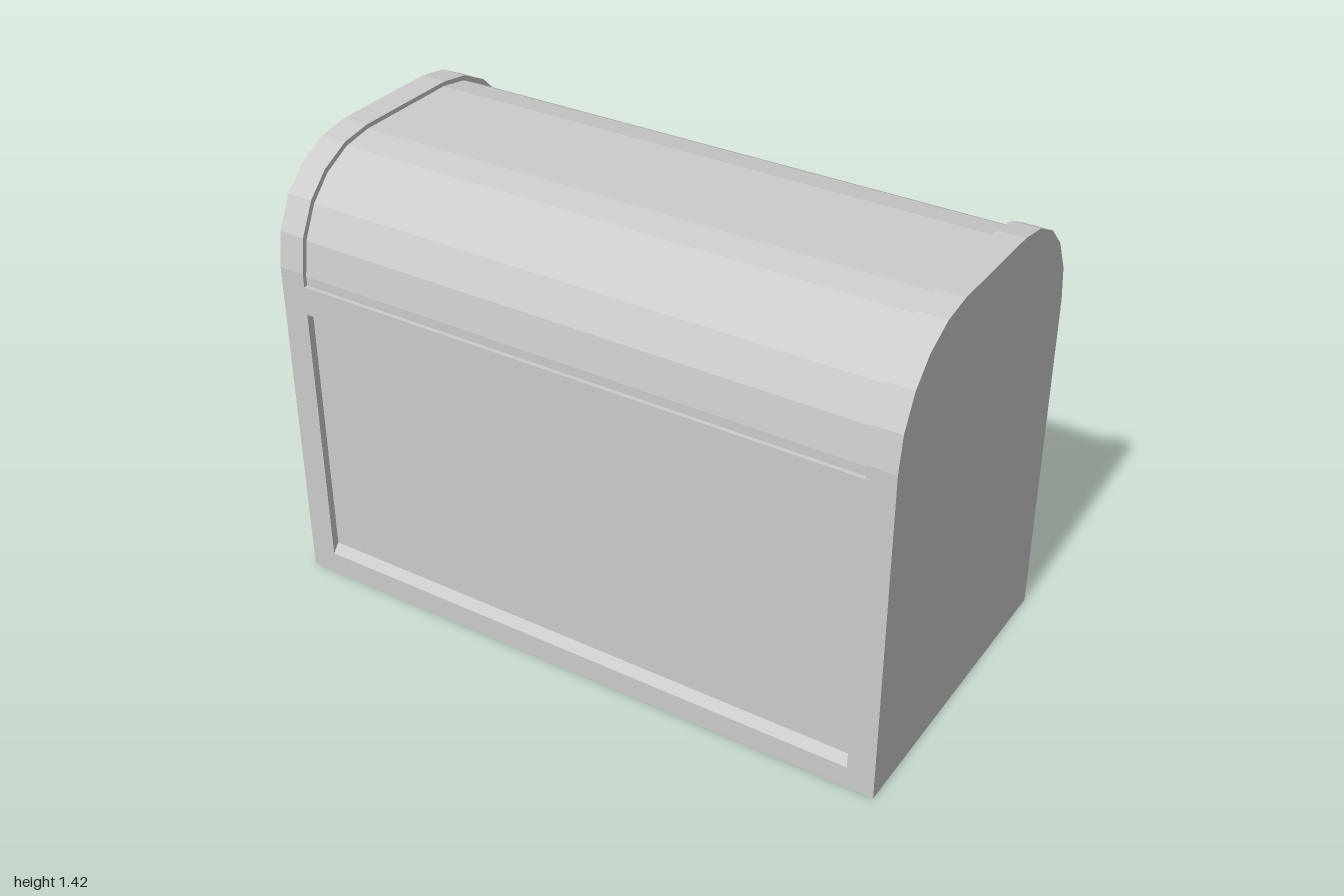
import * as THREE from 'three';

const material = new THREE.MeshStandardMaterial({ color: 0xcccccc, flatShading: true });
const END = 0.915; // inner face of the end walls

// Half outline of the vaulted lid, [z, y] from the shoulder to the flat crown
const ARCH = [[0.517, 1.08], [0.5, 1.19], [0.45, 1.29], [0.38, 1.36], [0.285, 1.408], [0.185, 1.424]];

// Extrude a [z, y] outline along x, between x0 and x1
function prism(name, points, x0, x1) {
  const shape = new THREE.Shape(points.map(([z, y]) => new THREE.Vector2(-z, y)));
  const geometry = new THREE.ExtrudeGeometry(shape, { depth: x1 - x0, bevelEnabled: false });
  geometry.rotateY(Math.PI / 2).translate(x0, 0, 0);
  const mesh = new THREE.Mesh(geometry, material);
  mesh.name = name;
  return mesh;
}

// Complete a half outline with its mirror image
function mirrored(half) {
  return [...half, ...half.map(([z, y]) => [-z, y]).reverse()];
}

export function createModel() {
  const chest = new THREE.Group();
  chest.name = 'chest';

  // Solid end walls with the full arched outline
  const outline = mirrored([[0.517, 0], ...ARCH]);
  chest.add(prism('leftEnd', outline, END, 1));
  chest.add(prism('rightEnd', outline, -1, -END));

  // Recessed body panels and floor
  chest.add(prism('body', mirrored([[0.493, 0.02], [0.493, 0.99]]), -END, END));

  // Lid sunk slightly below the end walls
  const lidArch = ARCH.map(([z, y]) => [z * 0.975, y - 0.014]);
  chest.add(prism('lid', mirrored([[0.504, 0.99], ...lidArch]), -END, END));

  // Belt rail and bevelled bottom rail, front and back
  const belt = [[0.48, 0.945], [0.517, 0.945], [0.517, 1.037], [0.48, 1.037]];
  const sill = [[0.485, 0], [0.517, 0], [0.517, 0.072], [0.493, 0.1], [0.485, 0.1]];
  for (const [side, angle] of [['front', 0], ['back', Math.PI]]) {
    const rails = new THREE.Group();
    rails.name = side + 'Rails';
    rails.add(prism(side + 'BeltRail', belt, -END, END));
    rails.add(prism(side + 'BottomRail', sill, -END, END));
    rails.rotation.y = angle;
    chest.add(rails);
  }
  return chest;
}
